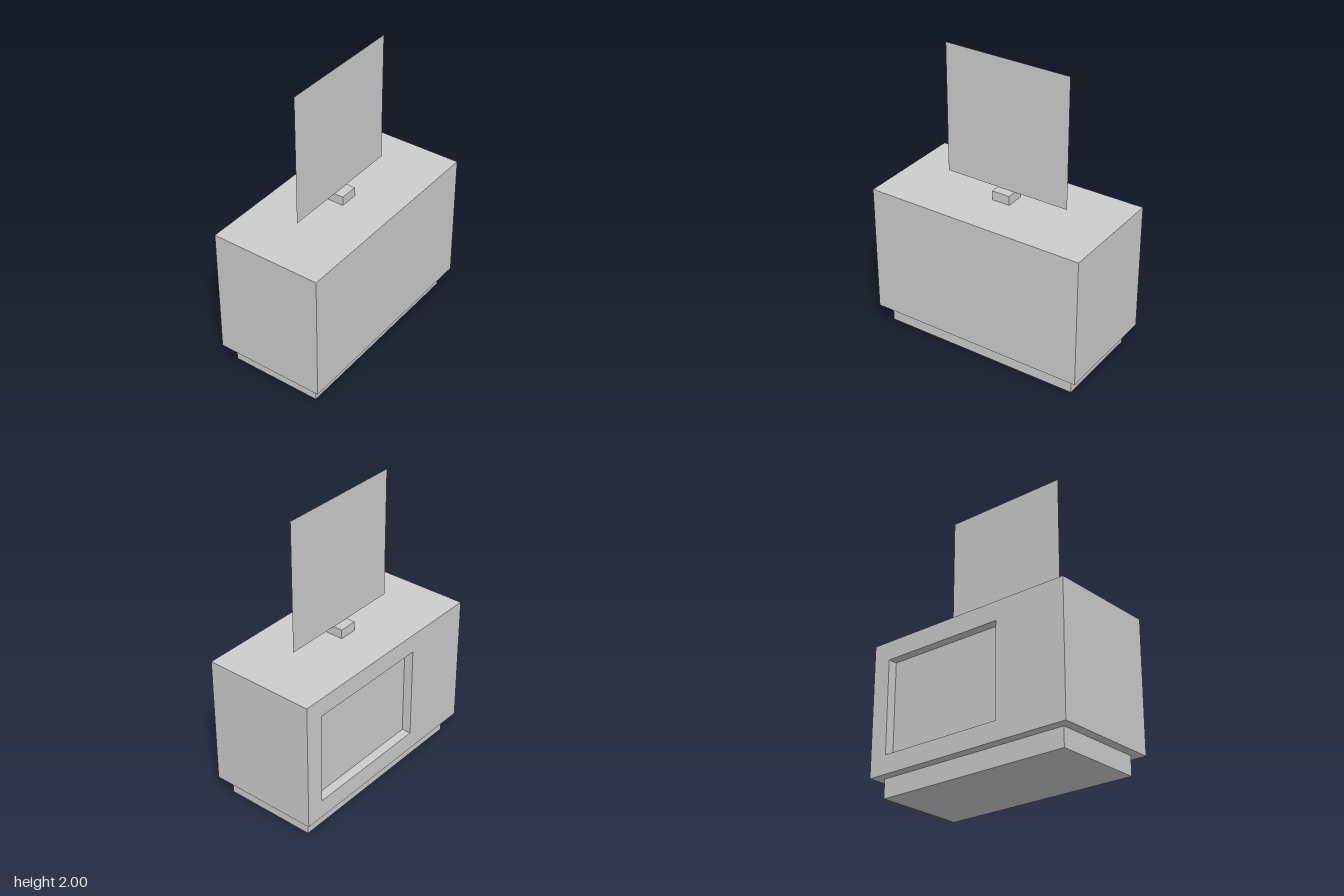
import * as THREE from 'three';

const U = 2 / 15.5; // module size: every part is a multiple of it

export function createModel() {
  const group = new THREE.Group();
  const grey = new THREE.MeshStandardMaterial({ color: 0xcccccc });
  grey.name = 'light grey';
  const greySheet = new THREE.MeshStandardMaterial({ color: 0xcccccc, side: THREE.DoubleSide });
  greySheet.name = 'light grey sheet';

  function add(name, geometry, x, y, z, material = grey) {
    const mesh = new THREE.Mesh(geometry, material);
    mesh.name = name;
    mesh.position.set(x * U, y * U, z * U);
    group.add(mesh);
  }
  const box = (w, h, d) => new THREE.BoxGeometry(w * U, h * U, d * U);

  // Inset plinth
  add('plinth', box(11, 1, 5), 0, 0.5, 0);

  // Main cabinet, up to the floor of the rear recess
  add('cabinet', box(12, 7, 5.5), 0, 4.5, 0.25);

  // Rear frame around the shallow recess
  const rect = (target, x0, y0, x1, y1) => target
    .moveTo(x0 * U, y0 * U).lineTo(x1 * U, y0 * U)
    .lineTo(x1 * U, y1 * U).lineTo(x0 * U, y1 * U).closePath();
  const frame = rect(new THREE.Shape(), -6, 1, 6, 8);
  frame.holes.push(rect(new THREE.Path(), -2, 2, 5, 7));
  add('rearFrame', new THREE.ExtrudeGeometry(frame, { depth: 0.5 * U, bevelEnabled: false }), 0, 0, -3);

  // Short post carrying the upright sheet
  add('post', box(1, 0.5, 1), 0, 8.25, 0);
  add('uprightPanel', new THREE.PlaneGeometry(7 * U, 7 * U), 0, 12, 0, greySheet);

  return group;
}
